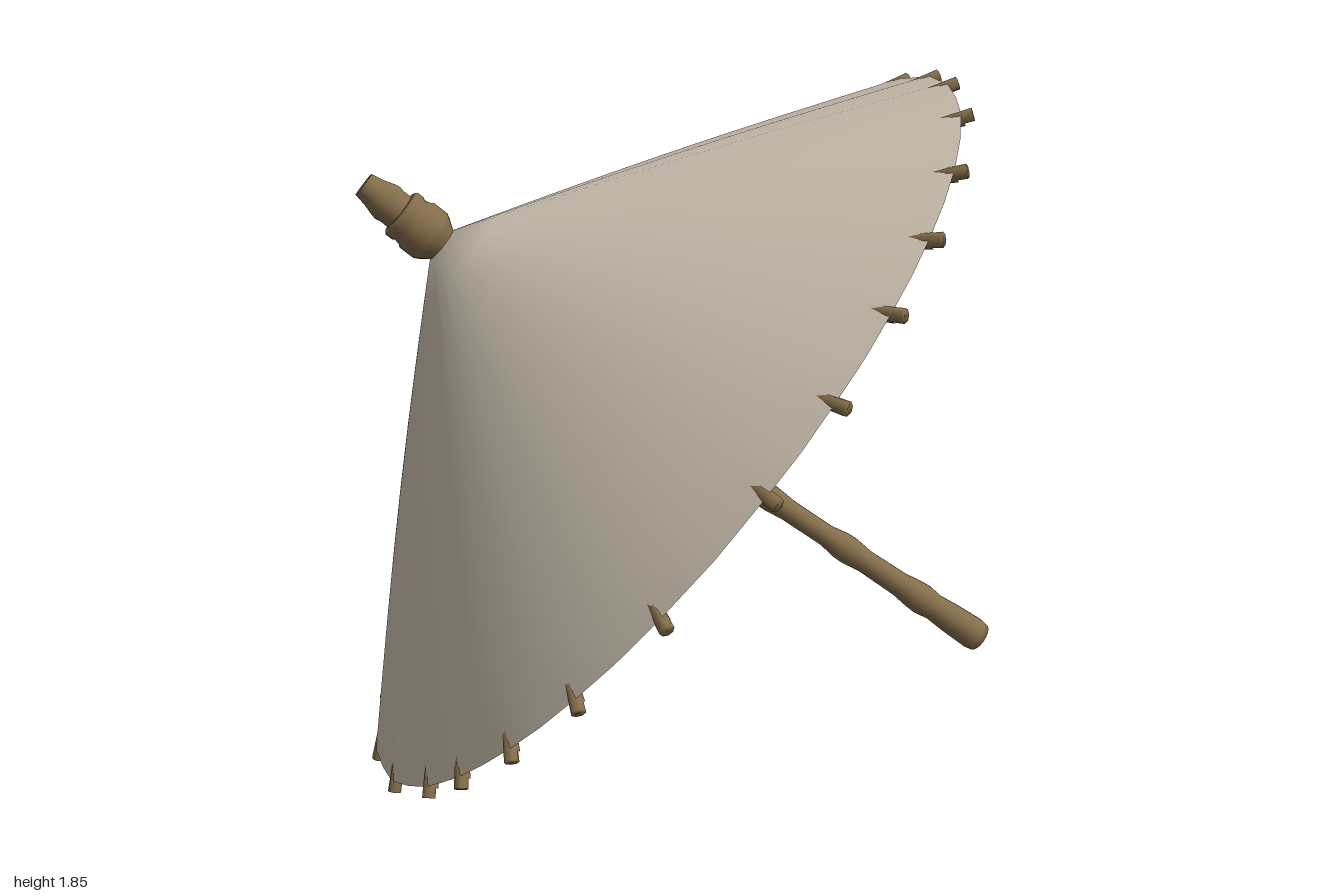
import * as THREE from 'three';

const V = (x, y, z) => new THREE.Vector3(x, y, z);
const paper = new THREE.MeshStandardMaterial({ color: 0xcabfaf, side: THREE.DoubleSide });
paper.name = 'paper';
const bamboo = new THREE.MeshStandardMaterial({ color: 0x846d4a });
bamboo.name = 'bamboo';

// Key points of the tilted parasol
const apex = V(-0.41, 1.46, -0.39);
const finialTip = V(-0.535, 1.6, -0.505);
const runnerTop = V(-0.03, 1.015, -0.028);
const runnerEnd = V(0.07, 0.885, 0.07);
const handleEnd = V(0.675, 0.275, 0.67);

// Rim ellipse: centre and two half axes
const centre = V(0.005, 0.945, -0.01);
const axisA = V(0.545, 0.92, 0.55);
const axisB = V(0.785, 0, -0.84);
const normal = axisA.clone().cross(axisB).normalize();

// Slightly uneven rib spacing, in degrees round the rim
const ribAngles = [3, 14, 27, 40, 51, 61, 72, 85, 93, 102, 112, 122, 145, 156, 168,
  186, 202, 216, 225, 236, 248, 262, 279, 291, 303, 314, 326, 340, 354];

const radial = (deg) => {
  const a = THREE.MathUtils.degToRad(deg);
  return axisA.clone().multiplyScalar(Math.cos(a)).addScaledVector(axisB, Math.sin(a));
};

// Point on the gently bowed cone: t = 0 at the apex, 1 at the rim
function conePoint(deg, t, lift = 0) {
  return apex.clone().lerp(radial(deg).add(centre), t)
    .addScaledVector(normal, 0.014 * Math.sin(Math.PI * Math.min(t, 1)) + lift);
}

// Turned part along a line from a to b; profile holds [radius, distance fraction]
function turned(name, a, b, profile, sides = 20) {
  const length = a.distanceTo(b);
  const pts = profile.map(([r, f]) => new THREE.Vector2(r, f * length));
  const mesh = new THREE.Mesh(new THREE.LatheGeometry(pts, sides), bamboo);
  mesh.name = name;
  mesh.position.copy(a);
  mesh.quaternion.setFromUnitVectors(V(0, 1, 0), b.clone().sub(a).normalize());
  return mesh;
}

function makeCanopy() {
  const angles = [];
  ribAngles.forEach((a, i) => {
    const next = i + 1 < ribAngles.length ? ribAngles[i + 1] : ribAngles[0] + 360;
    angles.push([a, 0], [(a + next) / 2, 1]);
  });
  const n = angles.length, rings = 8;
  const pos = [...apex.toArray()], index = [];
  for (let r = 1; r <= rings; r++) {
    const f = r / rings;
    for (const [deg, between] of angles) {
      // the paper sags a little between the ribs
      pos.push(...conePoint(deg, f * (0.985 - 0.004 * between), -0.006 * between * f).toArray());
    }
  }
  for (let j = 0; j < n; j++) {
    const k = (j + 1) % n;
    index.push(0, 1 + j, 1 + k);
    for (let r = 0; r < rings - 1; r++) {
      const a = 1 + r * n + j, b = 1 + r * n + k;
      index.push(a, a + n, b + n, a, b + n, b);
    }
  }
  const geo = new THREE.BufferGeometry();
  geo.setAttribute('position', new THREE.Float32BufferAttribute(pos, 3));
  geo.setIndex(index);
  geo.computeVertexNormals();
  const mesh = new THREE.Mesh(geo, paper);
  mesh.name = 'canopy';
  return mesh;
}

export function createModel() {
  const group = new THREE.Group();
  group.name = 'parasol';
  group.add(makeCanopy());

  // Ribs under the paper and stretchers from the runner
  const ribs = new THREE.Group();
  ribs.name = 'ribs';
  const stretchers = new THREE.Group();
  stretchers.name = 'stretchers';
  for (const deg of ribAngles) {
    const pts = [0.06, 0.3, 0.55, 0.8, 0.98].map((t) => conePoint(deg, t, -0.021));
    const curve = new THREE.CatmullRomCurve3(pts);
    const rib = new THREE.Mesh(new THREE.TubeGeometry(curve, 12, 0.0155, 8), bamboo);
    rib.name = 'rib';
    ribs.add(rib);
    // tips show just past the edge of the paper
    ribs.add(turned('ribTip', conePoint(deg, 0.93, -0.021), conePoint(deg, 1, -0.01),
      [[0, 0], [0.0155, 0], [0.0175, 1], [0, 1]], 8));

    const start = runnerTop.clone().addScaledVector(radial(deg), 0.045);
    const end = conePoint(deg, 0.395, -0.035);
    stretchers.add(turned('stretcher', start, end,
      [[0, 0], [0.013, 0], [0.019, 0.5], [0.019, 1], [0, 1]], 8));
  }
  group.add(ribs, stretchers);

  // Runner that carries the stretchers, with a notched upper edge
  group.add(turned('runner', runnerEnd, runnerTop, [
    [0, -0.1], [0.05, -0.1], [0.053, 0.15], [0.053, 0.18], [0.073, 0.2], [0.075, 0.5],
    [0.069, 0.53], [0.069, 0.6], [0.076, 0.62], [0.078, 0.95], [0.06, 1.05], [0, 1.05]]));
  const teeth = new THREE.Group();
  teeth.name = 'runnerTeeth';
  const up = runnerTop.clone().sub(runnerEnd);
  for (let i = 0; i < 14; i++) {
    const offset = radial(i * 360 / 14).normalize().multiplyScalar(0.069);
    const a = runnerEnd.clone().addScaledVector(up, 0.68).add(offset);
    teeth.add(turned('tooth', a, a.clone().addScaledVector(up, 0.38),
      [[0, 0], [0.012, 0], [0.012, 1], [0, 1]], 6));
  }
  group.add(teeth);

  // Shaft: hidden upper pole and jointed bamboo handle
  group.add(turned('pole', runnerEnd, apex, [[0.034, 0], [0.034, 1]], 14));
  group.add(turned('handle', handleEnd, runnerEnd, [
    [0, 0.015], [0.03, 0.01], [0.042, 0], [0.046, 0.02], [0.043, 0.1], [0.038, 0.16],
    [0.044, 0.2], [0.042, 0.23], [0.035, 0.28], [0.033, 0.4], [0.04, 0.455],
    [0.039, 0.485], [0.031, 0.53], [0.031, 0.66], [0.037, 0.72], [0.036, 0.745],
    [0.031, 0.79], [0.031, 0.9], [0.036, 1]], 18));

  // Rib hub and stepped finial above the canopy
  group.add(turned('ribHub', apex.clone().addScaledVector(normal, -0.13), apex,
    [[0, 0], [0.06, 0], [0.06, 0.6], [0.03, 0.9]], 18));
  group.add(turned('finialCollar', apex, finialTip, [
    [0.045, -0.15], [0.066, -0.02], [0.073, 0.04], [0.073, 0.24], [0.067, 0.27],
    [0.064, 0.34], [0.068, 0.37], [0.068, 0.46], [0.06, 0.49], [0, 0.49]]));
  group.add(turned('finial', apex, finialTip, [
    [0.05, 0.45], [0.049, 0.6], [0.052, 0.66], [0.05, 0.72], [0.04, 0.86],
    [0.034, 1], [0.034, 1.01]]));
  const cap = new THREE.Mesh(new THREE.CircleGeometry(0.034, 20), bamboo);
  cap.name = 'finialCap';
  const axis = finialTip.clone().sub(apex);
  cap.position.copy(apex).addScaledVector(axis, 1.01);
  cap.quaternion.setFromUnitVectors(V(0, 0, 1), axis.normalize());
  group.add(cap);
  return group;
}
